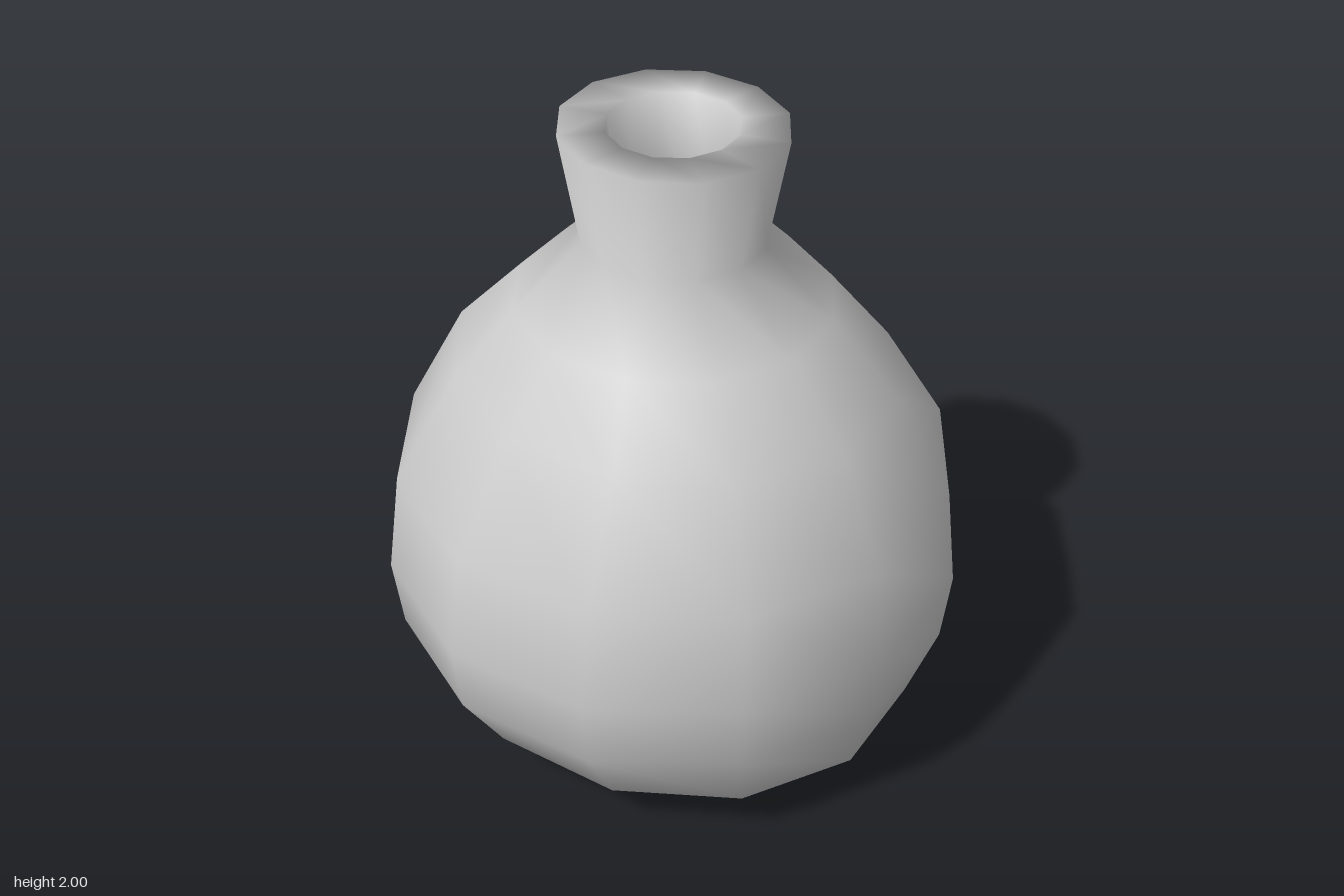
import * as THREE from 'three';
import { mergeVertices } from 'three/addons/utils/BufferGeometryUtils.js';

const SIDES = 12;

// Each ring: [half width in x, half depth in z, height]
const OUTER = [
  [0, 0, 0],
  [0.46, 0.49, 0],
  [0.695, 0.77, 0.18],
  [0.835, 0.84, 0.4],
  [0.865, 0.865, 0.62],
  [0.82, 0.84, 0.93],
  [0.62, 0.685, 1.25],
  [0.46, 0.475, 1.46],
  [0.265, 0.27, 1.66],
  [0.32, 0.335, 2],
];

// Hollow inside, from the mouth down to the floor
const INNER = [
  [0.19, 0.19, 2],
  [0.15, 0.15, 1.64],
  [0.36, 0.37, 1.38],
  [0.52, 0.56, 1.18],
  [0.69, 0.71, 0.9],
  [0.73, 0.73, 0.62],
  [0.7, 0.71, 0.44],
  [0.6, 0.64, 0.26],
  [0.4, 0.42, 0.13],
  [0, 0, 0.13],
];

function ringLathe(rings) {
  const lathe = new THREE.LatheGeometry(rings.map(([, z, y]) => new THREE.Vector2(z, y)), SIDES);
  const pos = lathe.attributes.position;
  // Squeeze each ring to its own width
  for (let i = 0; i < pos.count; i++) {
    const [x, z] = rings[i % rings.length];
    if (z > 0) pos.setX(i, pos.getX(i) * x / z);
  }
  // Weld the seam so the shading is smooth all round
  lathe.deleteAttribute('normal');
  lathe.deleteAttribute('uv');
  const welded = mergeVertices(lathe, 1e-4);
  welded.computeVertexNormals();
  return welded;
}

export function createModel() {
  const group = new THREE.Group();
  group.name = 'vase';

  // Round flask with flared neck, thick rim and hollow inside
  const flask = new THREE.Mesh(
    ringLathe([...OUTER, ...INNER]),
    new THREE.MeshStandardMaterial({ color: 0xcccccc }),
  );
  flask.name = 'flask';
  group.add(flask);
  return group;
}
